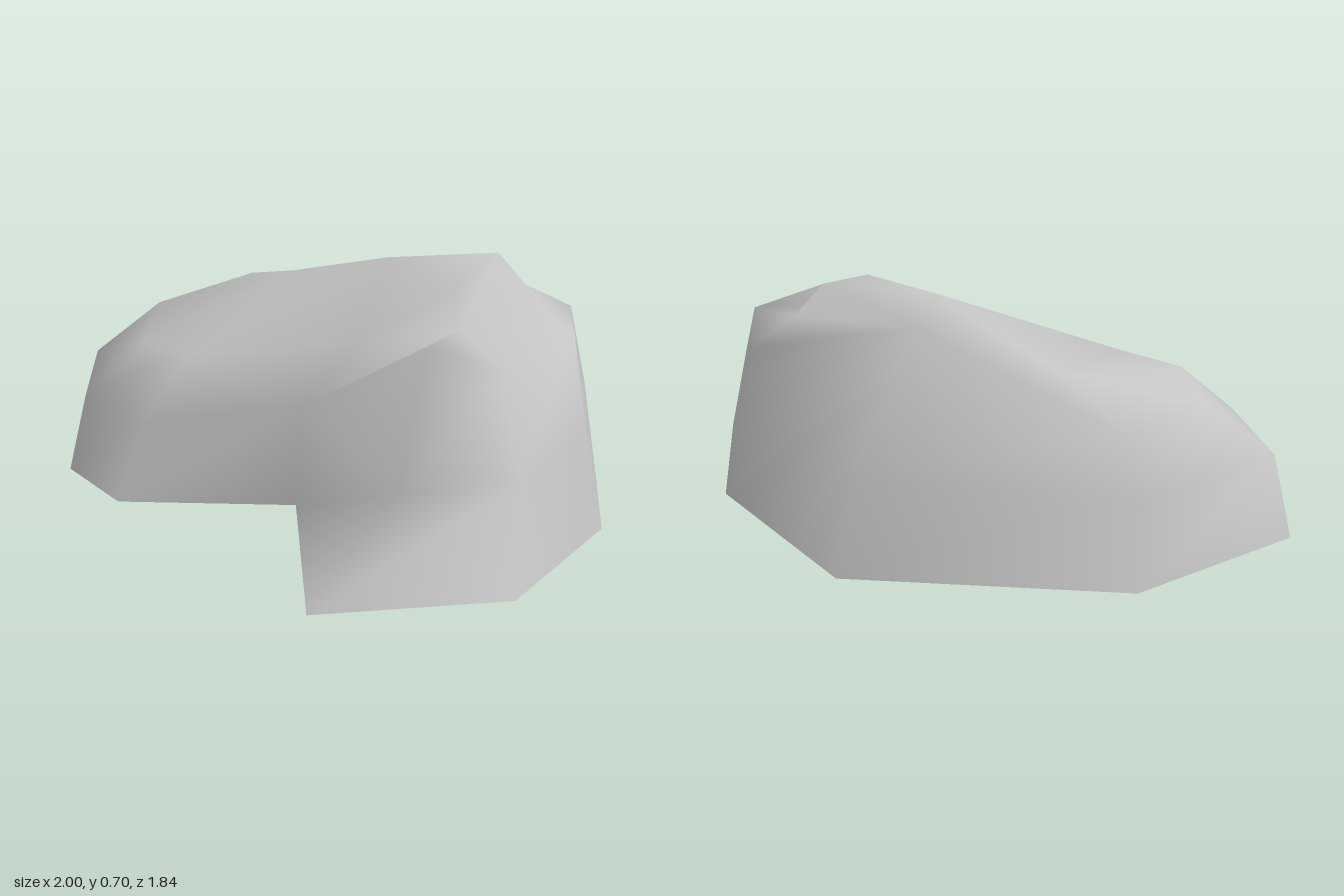
import * as THREE from 'three';

// Three loops of the boulder shell, running counterclockwise seen from above
const base = [
  [-1, 0, 0.03], [-0.68, 0, 0.48], [-0.37, 0, 0.6], [0.09, 0, 0.3], [0.59, 0, 0.915],
  [1, 0, 0.5], [0.94, 0, -0.09], [0.73, 0, -0.43], [0, 0, -0.92], [-0.8, 0, -0.62],
];
const middle = [
  [-0.93, 0.24, 0.06], [-0.63, 0.25, 0.45], [-0.34, 0.24, 0.51], [0.07, 0.3, 0.23], [0.67, 0.27, 0.6],
  [0.9, 0.27, 0.32], [0.86, 0.27, -0.12], [0.62, 0.27, -0.53], [0.03, 0.24, -0.79], [-0.78, 0.24, -0.56],
];
const upper = [
  [-0.77, 0.405, -0.08], [-0.52, 0.41, 0.29], [-0.29, 0.42, 0.35], [0.48, 0.56, 0], [0.48, 0.55, 0.16],
  [0.78, 0.55, 0.23], [0.78, 0.55, -0.17], [0.56, 0.52, -0.53], [0.05, 0.61, -0.38], [-0.72, 0.415, -0.52],
];
// Step corner, peak, foot of the peak, summit, ridge shoulder, rear ridge
const crest = [
  [0.43, 0.67, -0.04], [0.39, 0.705, -0.36], [0.47, 0.605, -0.4],
  [0.08, 0.675, -0.2], [0.19, 0.49, 0.12], [-0.41, 0.518, -0.33],
];

export function createModel() {
  const n = base.length;
  const stone = new THREE.MeshStandardMaterial({ color: 0xc4c4c4, side: THREE.DoubleSide });
  stone.name = 'grey stone';

  const index = [];
  const tri = (a, b, c) => index.push(a, b, c);
  const quad = (a, b, c, d) => index.push(a, b, c, a, c, d);
  const M = n, U = 2 * n;
  const [corner, peak, foot, summit, shoulder, ridge] = crest.map((_, i) => 3 * n + i);
  const ledge = U + 3, rear = U + 7, back = U + 8;

  // Side walls; the notch (segment 2) is closed separately above the middle loop
  for (let i = 0; i < n; i++) {
    const j = (i + 1) % n;
    quad(i, j, M + j, M + i);
    if (i !== 2) quad(M + i, M + j, U + j, U + i);
  }
  // Notch flank rising to the step
  tri(M + 2, M + 3, U + 2);
  tri(M + 3, shoulder, U + 2);
  tri(M + 3, ledge, shoulder);
  tri(ledge, corner, shoulder);
  // Ledge
  for (let i = 4; i < 6; i++) tri(ledge, U + i, U + i + 1);
  tri(ledge, U + 6, foot);
  tri(U + 6, rear, foot);
  // Step wall and its rear end
  quad(ledge, foot, peak, corner);
  tri(rear, back, foot);
  tri(foot, back, peak);
  // Dome: fans around the rear ridge point and the summit
  const fan = (hub, rim) => rim.slice(1).forEach((p, i) => tri(hub, rim[i], p));
  fan(ridge, [back, U + 9, U, U + 1, U + 2]);
  fan(summit, [ridge, U + 2, shoulder, corner, peak, back, ridge]);

  const geometry = new THREE.BufferGeometry();
  const points = [...base, ...middle, ...upper, ...crest];
  geometry.setAttribute('position', new THREE.Float32BufferAttribute(points.flat(), 3));
  geometry.setIndex(index);
  geometry.computeVertexNormals();

  const boulder = new THREE.Mesh(geometry, stone);
  boulder.name = 'boulder';
  const group = new THREE.Group();
  group.name = 'rock';
  group.add(boulder);
  return group;
}
